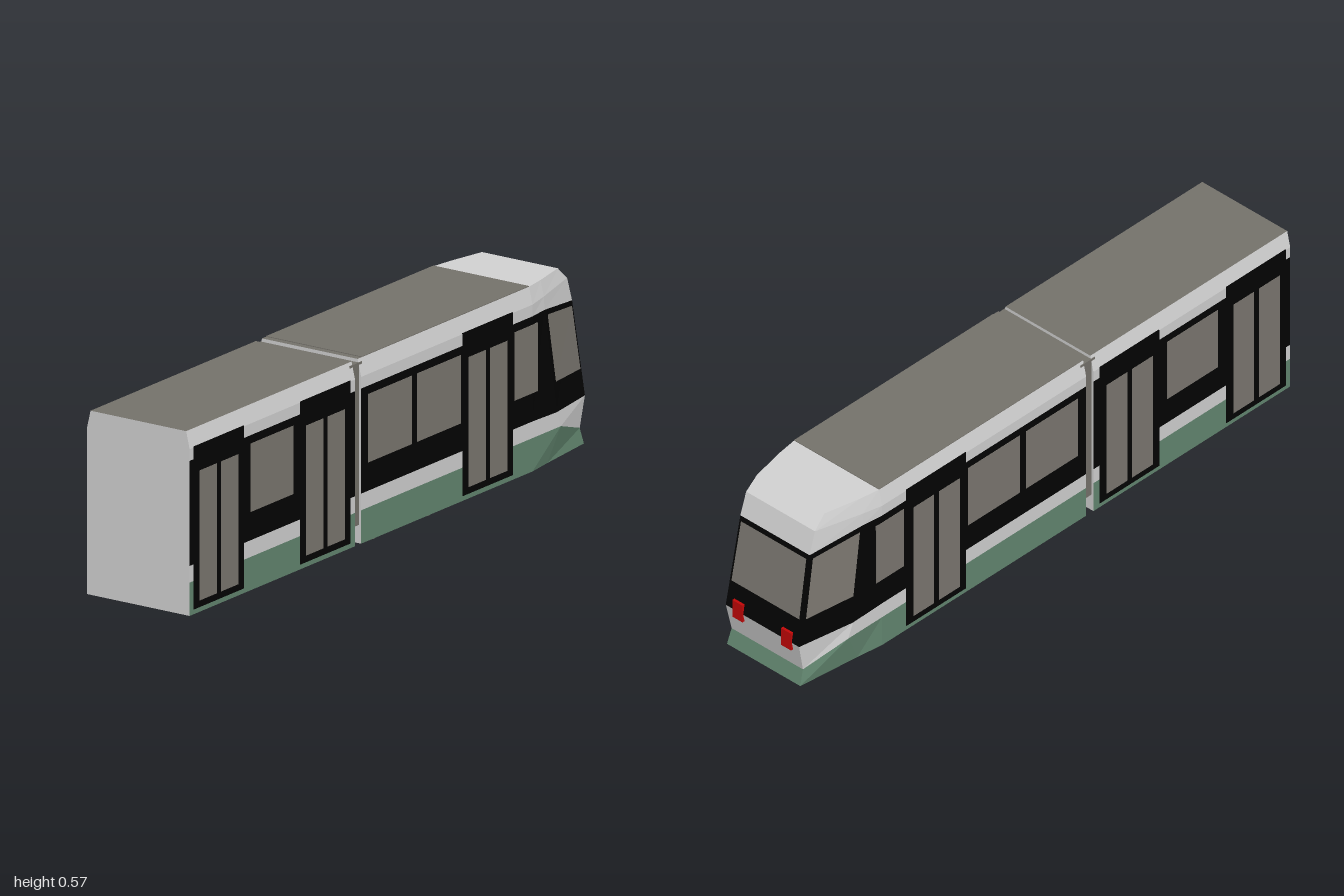
import * as THREE from 'three';

const material = (name, color) => Object.assign(new THREE.MeshStandardMaterial({ color }), { name });

export function createModel() {
  const tram = new THREE.Group();
  tram.name = 'tram';
  const white = material('body white', 0xd2d2d2);
  const green = material('skirt green', 0x638770);
  const black = material('window band black', 0x020202);
  const glass = material('glass grey', 0x7b7770);
  const grey = material('roof grey', 0x75726b);
  const wheelGrey = material('wheel grey', 0x6c6862);
  const dark = material('frame dark', 0x161616);
  const red = material('lamp red', 0xc40707);

  const add = (name, geometry, mat, parent = tram) => {
    const mesh = new THREE.Mesh(geometry, mat);
    mesh.name = name;
    parent.add(mesh);
  };
  // box given by its limits on each axis
  const box = (name, mat, [x0, x1], [y0, y1], [z0, z1]) => {
    const g = new THREE.BoxGeometry(Math.abs(x1 - x0), y1 - y0, Math.abs(z1 - z0));
    add(name, g.translate((x0 + x1) / 2, (y0 + y1) / 2, (z0 + z1) / 2), mat);
  };
  // flat shaded quads, corners anticlockwise seen from outside
  const quads = (name, mat, list, parent) => {
    const pos = list.flatMap(([a, b, c, d]) => [a, b, c, a, c, d].flat());
    const g = new THREE.BufferGeometry();
    g.setAttribute('position', new THREE.Float32BufferAttribute(pos, 3));
    g.computeVertexNormals();
    add(name, g, mat, parent);
  };
  const mirror = ([x, y, z]) => [-x, y, z];

  // straight cross-section: half outline from floor to roof edge
  const outline = [[0.18, 0.015], [0.18, 0.115], [0.18, 0.165], [0.18, 0.48], [0.18, 0.515], [0.168, 0.567]];
  const bands = [['skirt', green], ['lowerPanel', white], ['windowBand', black], ['upperPanel', white], ['roofEdge', white]];
  const station = z => outline.map(([x, y]) => [x, y, z]);

  // car shell lofted through half stations running towards -z
  const car = (name, half, { nose, floorMat, roofMat, isOpen }) => {
    const group = new THREE.Group();
    group.name = name;
    tram.add(group);
    const ring = [...half, ...half.map(s => s.map(mirror)).reverse()];
    bands.forEach(([label, mat], r) => {
      const list = [];
      for (let i = 0; i < ring.length - 1; i++) {
        if (!nose && i === half.length - 1) continue;
        list.push([ring[i][r], ring[i + 1][r], ring[i + 1][r + 1], ring[i][r + 1]]);
      }
      quads(label, mat, list, group);
    });
    const top = outline.length - 1;
    for (let i = 0; i < half.length - 1; i++) {
      const a = half[i], b = half[i + 1];
      quads('roof', roofMat(i), [[a[top], b[top], mirror(b[top]), mirror(a[top])]], group);
      if (!isOpen(i)) quads('floor', floorMat, [[mirror(a[0]), mirror(b[0]), b[0], a[0]]], group);
    }
    // end walls
    const wall = (s, flip) => bands.map((_, r) => {
      const q = [mirror(s[r]), s[r], s[r + 1], mirror(s[r + 1])];
      return flip ? q.reverse() : q;
    });
    quads('frontWall', white, wall(half[0], false), group);
    if (!nose) quads('rearWall', white, wall(half[half.length - 1], true), group);
  };

  car('frontCar', [station(1), station(0.185)],
    { nose: false, floorMat: white, roofMat: () => grey, isOpen: () => false });

  // cab: tapering station, then the corner of the sloping nose
  const taper = [[0.168, 0.015, -0.78], [0.18, 0.115, -0.83], [0.18, 0.162, -0.81],
    [0.172, 0.48, -0.76], [0.17, 0.52, -0.76], [0.158, 0.567, -0.76]];
  const noseCorner = [[0.145, 0.015, -0.992], [0.141, 0.065, -0.977], [0.145, 0.158, -0.997],
    [0.137, 0.455, -0.945], [0.136, 0.528, -0.922], [0.133, 0.567, -0.88]];
  car('cabCar', [station(0.155), station(-0.2), station(-0.56), station(-0.69), taper, noseCorner],
    { nose: true, floorMat: green, roofMat: i => (i < 3 ? grey : white), isOpen: i => i === 1 });
  box('roofPanel', grey, [-0.168, 0.168], [0.56, 0.569], [0.135, -0.69]);

  // glass plate laid over part of a quad, lifted off along its normal
  const pane = (name, [a, b, c, d], [u0, u1], [v0, v1]) => {
    const [A, B, C, D] = [a, b, c, d].map(p => new THREE.Vector3(...p));
    const n = B.clone().sub(A).cross(D.clone().sub(A)).normalize().multiplyScalar(0.003);
    const at = (u, v) => A.clone().lerp(B, u).lerp(D.clone().lerp(C, u), v).add(n).toArray();
    quads(name, glass, [[at(u0, v0), at(u1, v0), at(u1, v1), at(u0, v1)]]);
  };
  const cabSide = [taper[2], noseCorner[2], noseCorner[3], taper[3]];
  pane('cabWindowLeft', cabSide, [0.06, 0.94], [0.29, 0.95]);
  pane('cabWindowRight', [1, 0, 3, 2].map(i => mirror(cabSide[i])), [0.06, 0.94], [0.29, 0.95]);
  pane('windscreen', [noseCorner[2], mirror(noseCorner[2]), mirror(noseCorner[3]), noseCorner[3]],
    [0.03, 0.97], [0.29, 0.95]);

  for (const s of [1, -1]) {
    // double doors
    for (const z of [0.858, 0.333, -0.467]) {
      box('doorFrame', black, [s * 0.176, s * 0.182], [0.03, 0.518], [z - 0.123, z + 0.123]);
      for (const k of [-1, 1])
        box('doorGlass', glass, [s * 0.178, s * 0.1827], [0.05, 0.44], [z + k * 0.053 - 0.043, z + k * 0.053 + 0.043]);
    }
    // side windows
    for (const z of [[0.49, 0.7], [-0.095, 0.12], [-0.335, -0.12], [-0.715, -0.6]])
      box('sideWindow', glass, [s * 0.174, s * 0.1812], [0.25, 0.455], z);
    box('tailLamp', red, [s * 0.076, s * 0.116], [0.132, 0.192], [-1, -0.975]);
  }

  // gangway bellows between the cars
  box('gangway', grey, [-0.172, 0.172], [0.07, 0.555], [0.155, 0.185]);
  box('gangwayHood', grey, [-0.1725, 0.1725], [0.55, 0.557], [0.14, 0.2]);

  // bogie well: ceiling and four walls facing inwards
  const corners = [[0.18, -0.1], [0.18, -0.56], [-0.18, -0.56], [-0.18, -0.1]];
  const low = corners.map(([x, z]) => [x, 0.015, z]);
  const high = corners.map(([x, z]) => [x, 0.2, z]);
  quads('bogieWell', green, [[...high].reverse(), ...corners.map((_, i) => {
    const j = (i + 1) % 4;
    return [low[j], low[i], high[i], high[j]];
  })]);

  // wheelsets and frame
  for (const z of [0.057, -0.213]) {
    const turned = (name, r, length, x) => add(name,
      new THREE.CylinderGeometry(r, r, length, 28).rotateZ(Math.PI / 2).translate(x, 0.09, z), wheelGrey);
    for (const s of [1, -1]) turned('wheel', 0.09, 0.026, s * 0.142);
    turned('axle', 0.055, 0.26, 0);
  }
  for (const s of [1, -1])
    box('bogieBeam', dark, [s * 0.07, s * 0.11], [0.06, 0.1], [-0.48, -0.29]);
  box('bogieCrossbeam', dark, [-0.15, 0.15], [0.06, 0.1], [-0.4, -0.36]);

  return tram;
}
